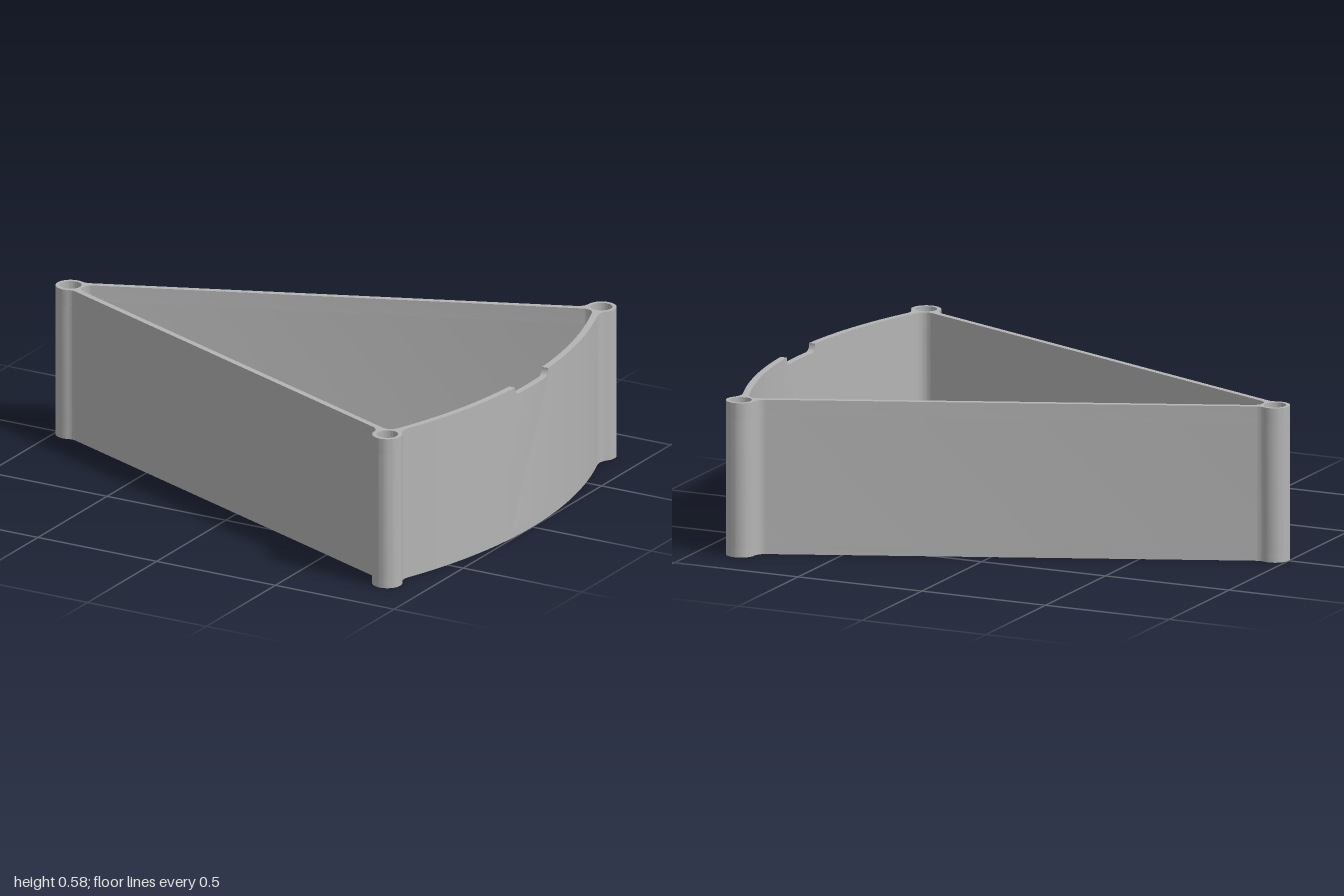
import * as THREE from 'three';
import { toCreasedNormals } from 'three/addons/utils/BufferGeometryUtils.js';

// Plan is drawn in a frame whose origin is the centre of the tip post
const TIP_X = -0.945, HEIGHT = 0.578, FLOOR = 0.03, HOLE_DEPTH = 0.06;
const A = Math.PI / 8;                      // half angle of the wedge
const R_OUT = 1.945, R_IN = 1.92;           // curved wall radii
const W_OUT = 0.028, W_IN = 0.005;          // straight wall faces, offset from the wedge ray
const POST_R = 0.055, HOLE_R = 0.04;
const POST = new THREE.Vector2(1.785, 0.775);
const GAP = 0.08;                           // half angle of the notched wall section

// Point at distance s along the wedge ray and n to its outer side
const onRay = (s, n) => new THREE.Vector2(
  s * Math.cos(A) - n * Math.sin(A), s * Math.sin(A) + n * Math.cos(A));

function arc(c, r, from, to, n) {
  return Array.from({ length: n + 1 }, (_, i) => {
    const t = from + (to - from) * i / n;
    return new THREE.Vector2(c.x + r * Math.cos(t), c.y + r * Math.sin(t));
  });
}

const O = new THREE.Vector2(0, 0);
const angle = (v) => Math.atan2(v.y, v.x);

// Half of the outside outline: tip post, wall, corner post, curved wall
function outerHalf(end) {
  const f = 0.045, g = 0.06;
  const f1 = onRay(Math.sqrt((POST_R + f) ** 2 - (W_OUT + f) ** 2), W_OUT + f);
  const ps = POST.x * Math.cos(A) + POST.y * Math.sin(A);
  const pn = POST.y * Math.cos(A) - POST.x * Math.sin(A);
  const f2 = onRay(ps - Math.sqrt((POST_R + f) ** 2 - (W_OUT + f - pn) ** 2), W_OUT + f);
  const d = POST.length(), q = R_OUT + g;
  const t3 = angle(POST) - Math.acos((q * q + d * d - (POST_R + g) ** 2) / (2 * q * d));
  const f3 = new THREE.Vector2(q * Math.cos(t3), q * Math.sin(t3));
  const toPost = angle(POST.clone().sub(f2)), toFillet = angle(f3.clone().sub(POST));
  return [
    ...arc(O, POST_R, Math.PI, angle(f1), 12),
    ...arc(f1, f, angle(f1) - Math.PI, A - Math.PI / 2, 8).slice(1),
    ...arc(f2, f, A - Math.PI / 2, toPost, 8),
    ...arc(POST, POST_R, toPost + Math.PI, toFillet, 24).slice(1),
    ...arc(f3, g, toFillet + Math.PI, t3 + Math.PI, 8).slice(1),
    ...arc(O, R_OUT, t3, end, 24).slice(1),
  ];
}

// Half of the cavity outline, with rounded corners
function innerHalf(end) {
  const r = 0.039;
  const tip = new THREE.Vector2((r - W_IN) / Math.sin(A), 0);
  const k = onRay(Math.sqrt((R_IN - r) ** 2 - (r - W_IN) ** 2), W_IN - r);
  return [
    ...arc(tip, r, Math.PI, A + Math.PI / 2, 8),
    ...arc(k, r, A + Math.PI / 2, angle(k), 10),
    ...arc(O, R_IN, angle(k), end, 24).slice(1),
  ];
}

const mirror = (pts) => pts.map((p) => new THREE.Vector2(p.x, -p.y));

function slab(shape, y0, y1) {
  const geo = new THREE.ExtrudeGeometry(shape, { depth: y1 - y0, bevelEnabled: false, curveSegments: 32 });
  geo.rotateX(-Math.PI / 2);
  geo.translate(TIP_X, y0, 0);
  return toCreasedNormals(geo, 0.5);
}

// Walls and posts as one band, open where the notched section sits
function wallShape(withHoles) {
  const o = outerHalf(GAP), i = innerHalf(GAP);
  const shape = new THREE.Shape([
    ...o.slice().reverse(), ...mirror(o).slice(1),
    ...mirror(i).reverse(), ...i.slice(1),
  ]);
  if (withHoles) {
    for (const c of [O, POST, new THREE.Vector2(POST.x, -POST.y)]) {
      shape.holes.push(new THREE.Path().absarc(c.x, c.y, HOLE_R, 0, Math.PI * 2, true));
    }
  }
  return shape;
}

// Flat strip with a round-cornered notch, bent onto the curved wall
function notchedWall() {
  const half = GAP * R_OUT, n = 0.12, r = 0.025, low = HEIGHT - 0.03;
  const pts = [];
  for (let i = 0; i <= 12; i++) pts.push(new THREE.Vector2(-half + 2 * half * i / 12, FLOOR));
  pts.push(new THREE.Vector2(half, HEIGHT), new THREE.Vector2(n, HEIGHT));
  pts.push(...arc(new THREE.Vector2(n - r, low + r), r, 0, -Math.PI / 2, 6));
  for (let i = 1; i < 8; i++) pts.push(new THREE.Vector2((n - r) * (1 - i / 4), low));
  pts.push(...arc(new THREE.Vector2(r - n, low + r), r, -Math.PI / 2, -Math.PI, 6));
  pts.push(new THREE.Vector2(-n, HEIGHT), new THREE.Vector2(-half, HEIGHT));
  const geo = new THREE.ExtrudeGeometry(new THREE.Shape(pts), { depth: R_OUT - R_IN, bevelEnabled: false });
  const p = geo.attributes.position;
  for (let i = 0; i < p.count; i++) {
    const t = p.getX(i) / R_OUT, rad = R_IN + p.getZ(i);
    p.setXYZ(i, TIP_X + rad * Math.cos(t), p.getY(i), -rad * Math.sin(t));
  }
  return toCreasedNormals(geo, 0.5);
}

export function createModel() {
  const model = new THREE.Group();
  model.name = 'wedgeTray';
  const grey = new THREE.MeshStandardMaterial({ color: 0xb4b4b4 });
  grey.name = 'grey';
  const add = (name, geo) => {
    const mesh = new THREE.Mesh(geo, grey);
    mesh.name = name;
    model.add(mesh);
  };

  const o = outerHalf(0);
  const floorShape = new THREE.Shape([...o.slice().reverse(), ...mirror(o).slice(1, -1)]);
  add('floor', slab(floorShape, 0, FLOOR));
  add('wallsAndPosts', slab(wallShape(false), FLOOR, HEIGHT - HOLE_DEPTH));
  add('rimWithPostHoles', slab(wallShape(true), HEIGHT - HOLE_DEPTH, HEIGHT));
  add('notchedWall', notchedWall());
  return model;
}
